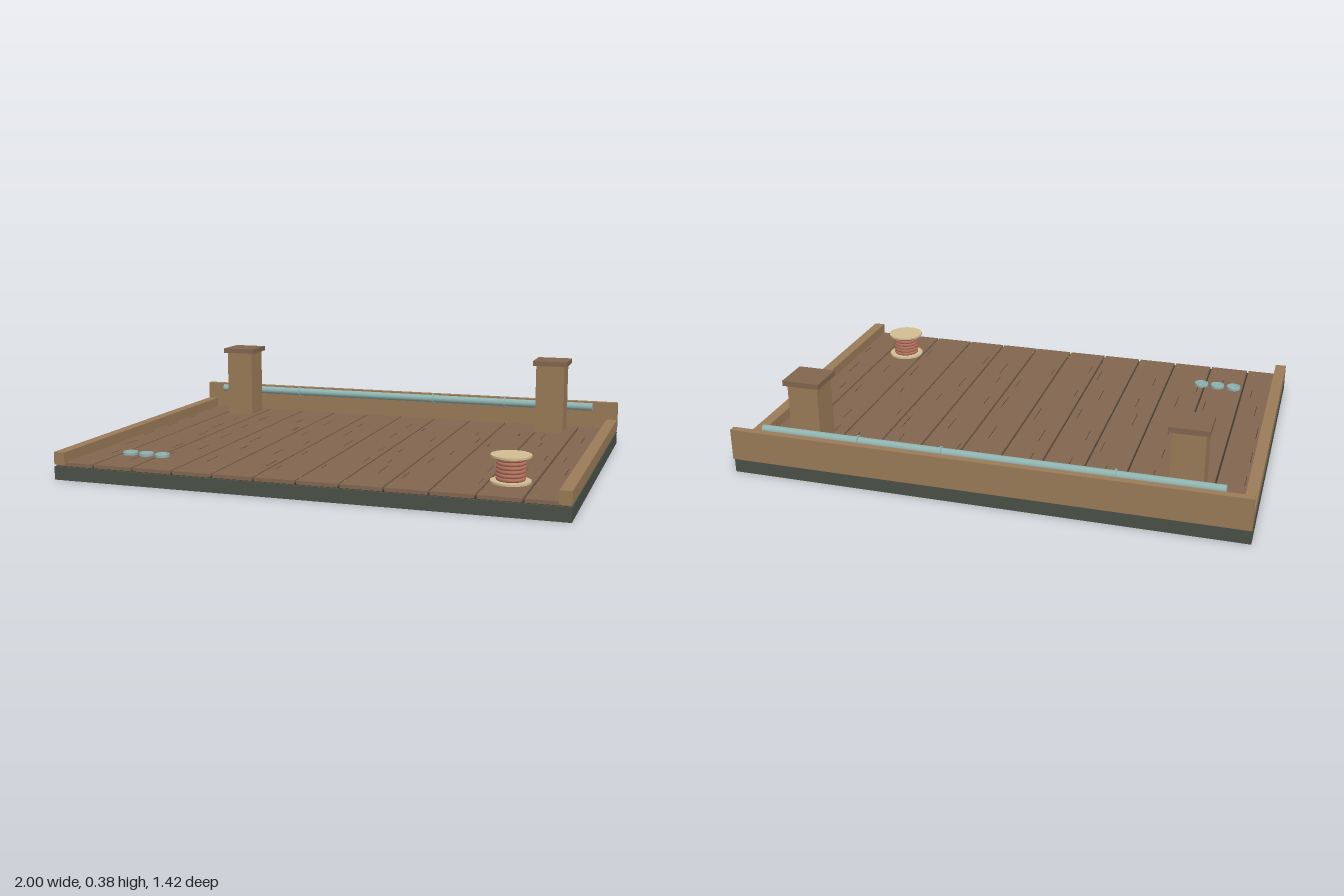
import * as THREE from 'three';

const mat = (color) => new THREE.MeshStandardMaterial({ color });

export function createModel() {
  const model = new THREE.Group();
  const stone = mat(0x4a5148), wood = mat(0x9a7b58), floorWood = mat(0x82664f);
  const dark = mat(0x41362c), metal = mat(0x8fb3b0), cream = mat(0xd2bd94), thread = mat(0xb0705c);

  const add = (parent, name, geometry, material, x = 0, y = 0, z = 0) => {
    const mesh = new THREE.Mesh(geometry, material);
    mesh.name = name;
    mesh.position.set(x, y, z);
    parent.add(mesh);
    return mesh;
  };
  // Box given by its lower and upper limits
  const box = (parent, name, material, [x0, x1], [y0, y1], [z0, z1]) =>
    add(parent, name, new THREE.BoxGeometry(x1 - x0, y1 - y0, z1 - z0), material,
      (x0 + x1) / 2, (y0 + y1) / 2, (z0 + z1) / 2);

  // Base slab and dark underlay seen between the planks
  box(model, 'base', stone, [-1, 1], [0, 0.053], [-0.7, 0.711]);
  box(model, 'underlay', dark, [-0.99, 0.99], [0.053, 0.06], [-0.69, 0.7]);

  // Deck planks with fine grain strokes
  const deck = new THREE.Group();
  deck.name = 'deck';
  model.add(deck);
  let seed = 7;
  const random = () => (seed = (seed * 16807) % 2147483647) / 2147483647;
  const pitch = 1 / 6;
  for (let i = 0; i < 12; i++) {
    const x = -1 + (i + 0.5) * pitch;
    box(deck, 'plank', floorWood, [x - pitch / 2 + 0.004, x + pitch / 2 - 0.004], [0.055, 0.069], [-0.685, 0.703]);
    for (let k = 0; k < 5; k++) {
      const gx = THREE.MathUtils.clamp(x + (random() - 0.5) * 0.13, -0.94, 0.94);
      const gz = -0.46 + k * 0.22 + random() * 0.1, half = 0.03 + random() * 0.03;
      box(deck, 'grain', dark, [gx - 0.001, gx + 0.001], [0.068, 0.0694], [gz - half, gz + half]);
    }
  }
  // Row of nails near the front edge
  for (let i = 0; i < 11; i++)
    add(deck, 'nail', new THREE.CylinderGeometry(0.005, 0.005, 0.004, 8), wood, (i - 5) * 0.173, 0.069, 0.65);

  // Low side rails and taller back rail
  for (const s of [-1, 1])
    add(model, 'sideRail', new THREE.BoxGeometry(0.045, 0.05, 1.391), wood, s * 0.9775, 0.085, 0.0155);
  box(model, 'backRail', wood, [-1, 1], [0.06, 0.185], [-0.711, -0.682]);

  // Two capped posts
  for (const x of [-0.752, 0.724]) {
    const post = new THREE.Group();
    post.name = 'post';
    post.position.set(x, 0, -0.563);
    model.add(post);
    box(post, 'postShaft', wood, [-0.061, 0.061], [0.065, 0.363], [-0.061, 0.061]);
    box(post, 'postCap', floorWood, [-0.074, 0.074], [0.363, 0.384], [-0.074, 0.074]);
  }

  // Long pipe with thin joint rings
  const pipe = new THREE.Group();
  pipe.name = 'pipe';
  pipe.position.set(0, 0.17, -0.638);
  pipe.rotation.z = Math.PI / 2;
  model.add(pipe);
  add(pipe, 'pipeTube', new THREE.CylinderGeometry(0.017, 0.017, 1.792, 20), metal);
  for (const x of [-0.5, 0.165, 0.5])
    add(pipe, 'jointRing', new THREE.CylinderGeometry(0.023, 0.023, 0.006, 20), metal, 0, -x, 0);

  // Spool of thread
  const spool = new THREE.Group();
  spool.name = 'spool';
  spool.position.set(0.746, 0, 0.478);
  model.add(spool);
  const disc = new THREE.CylinderGeometry(0.075, 0.075, 0.008, 32);
  add(spool, 'spoolFoot', disc, cream, 0, 0.073, 0);
  add(spool, 'spoolTop', disc, cream, 0, 0.168, 0);
  add(spool, 'spoolCore', new THREE.CylinderGeometry(0.049, 0.049, 0.09, 24), thread, 0, 0.12, 0);
  for (let i = 0; i < 6; i++) {
    const turn = add(spool, 'threadTurn', new THREE.TorusGeometry(0.0475, 0.0075, 8, 28), thread, 0, 0.084 + i * 0.0145, 0);
    turn.rotation.x = Math.PI / 2;
  }

  // Three buttons, each with four holes and a raised rim
  const face = new THREE.Shape().absarc(0, 0, 0.03, 0, Math.PI * 2);
  for (const [sx, sy] of [[1, 1], [1, -1], [-1, 1], [-1, -1]])
    face.holes.push(new THREE.Path().absarc(sx * 0.008, sy * 0.008, 0.0035, 0, Math.PI * 2, true));
  const buttonGeometry = new THREE.ExtrudeGeometry(face, { depth: 0.009, bevelEnabled: false, curveSegments: 14 });
  for (let i = 0; i < 3; i++) {
    const button = new THREE.Group();
    button.name = 'button';
    button.position.set(-0.793 + i * 0.0705, 0.069, 0.483);
    button.rotation.x = -Math.PI / 2;
    model.add(button);
    add(button, 'buttonFace', buttonGeometry, metal);
    add(button, 'buttonRim', new THREE.TorusGeometry(0.026, 0.004, 8, 28), metal, 0, 0, 0.009);
  }
  return model;
}
